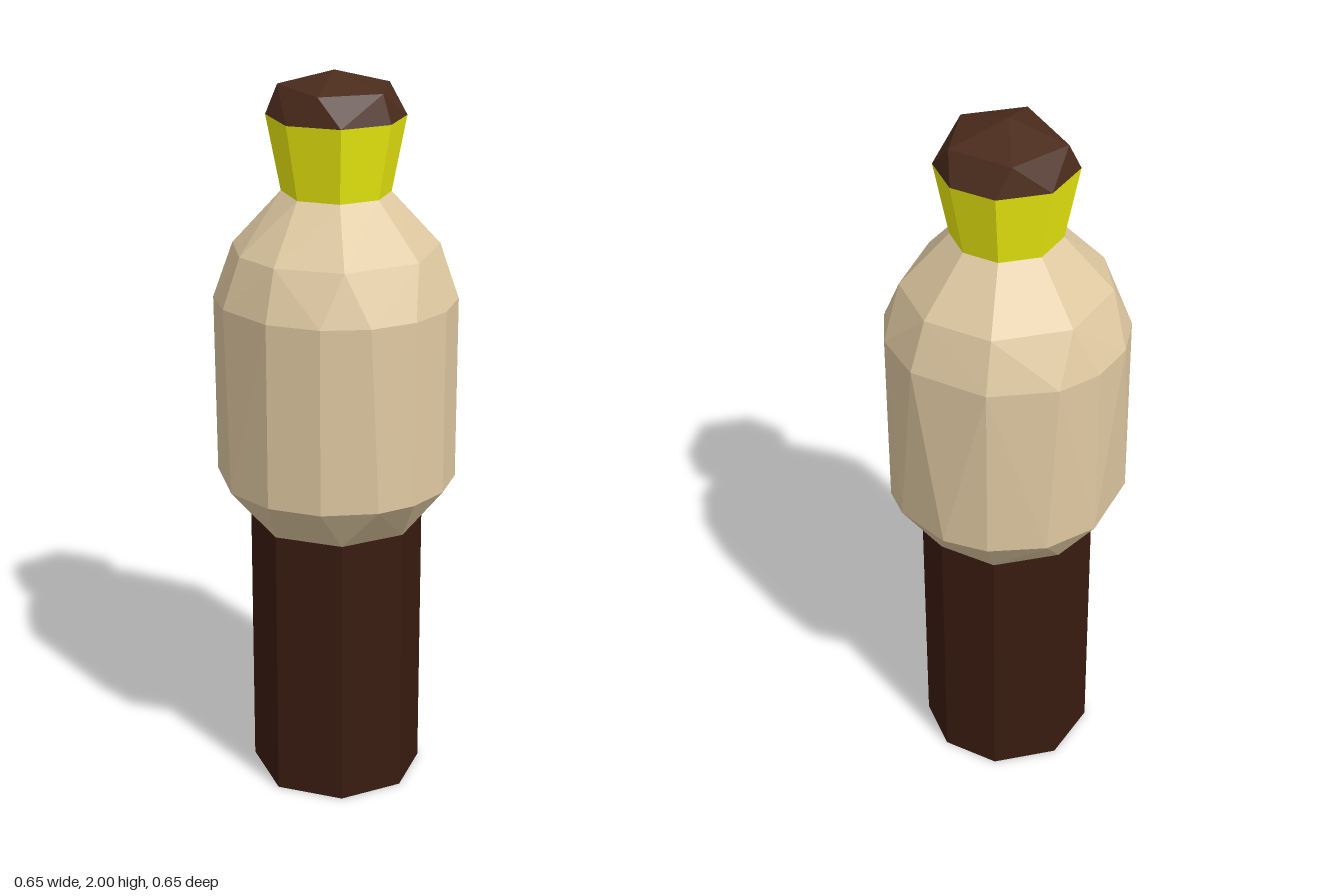
import * as THREE from 'three';
import { ConvexGeometry } from 'three/addons/geometries/ConvexGeometry.js';

// Corner angles in degrees, from +x towards +z
const OCTAGON = [17, 62, 109, 162, 207.5, 252.5, 292.5, 332.5];
const SHOULDER = [16, 61.5, 100.5, 130, 163, 207.5, 252, 292, 331];
const CHEST = [5, 27, 50, 73, 99, 130, 153, 175, 198, 220, 253, 292, 320, 342];
const WAIST = [5, 27, 46, 73, 99, 125, 160, 198, 225, 253, 275, 304, 320, 342];
const CROWN = [17, 83, 171, 239.5, 308];

function ring(y, radius, angles) {
  return angles.map((deg) => {
    const a = THREE.MathUtils.degToRad(deg);
    return new THREE.Vector3(radius * Math.cos(a), y, radius * Math.sin(a));
  });
}

// Faceted convex solid spanning a stack of rings
function facetedPart(name, color, rings) {
  const material = new THREE.MeshStandardMaterial({ color, flatShading: true });
  const mesh = new THREE.Mesh(new ConvexGeometry(rings.flat()), material);
  mesh.name = name;
  return mesh;
}

export function createModel() {
  const model = new THREE.Group();
  model.name = 'figure';

  // Straight dark base
  model.add(facetedPart('base', 0x3a1c10, [
    ring(0, 0.238, OCTAGON),
    ring(0.77, 0.238, OCTAGON),
  ]));

  // Rounded barrel body
  model.add(facetedPart('body', 0xe0c9a2, [
    ring(0.77, 0.238, OCTAGON),
    ring(0.895, 0.327, WAIST),
    ring(1.4, 0.327, CHEST),
    ring(1.535, 0.278, SHOULDER),
    ring(1.68, 0.146, OCTAGON),
  ]));

  // Flared yellow collar
  model.add(facetedPart('collar', 0xf0f010, [
    ring(1.68, 0.146, OCTAGON),
    ring(1.88, 0.185, OCTAGON),
  ]));

  // Domed cap
  model.add(facetedPart('cap', 0x4b2c1c, [
    ring(1.88, 0.185, OCTAGON),
    ring(1.955, 0.158, CROWN),
    [new THREE.Vector3(0, 2, 0.01)],
  ]));

  return model;
}
